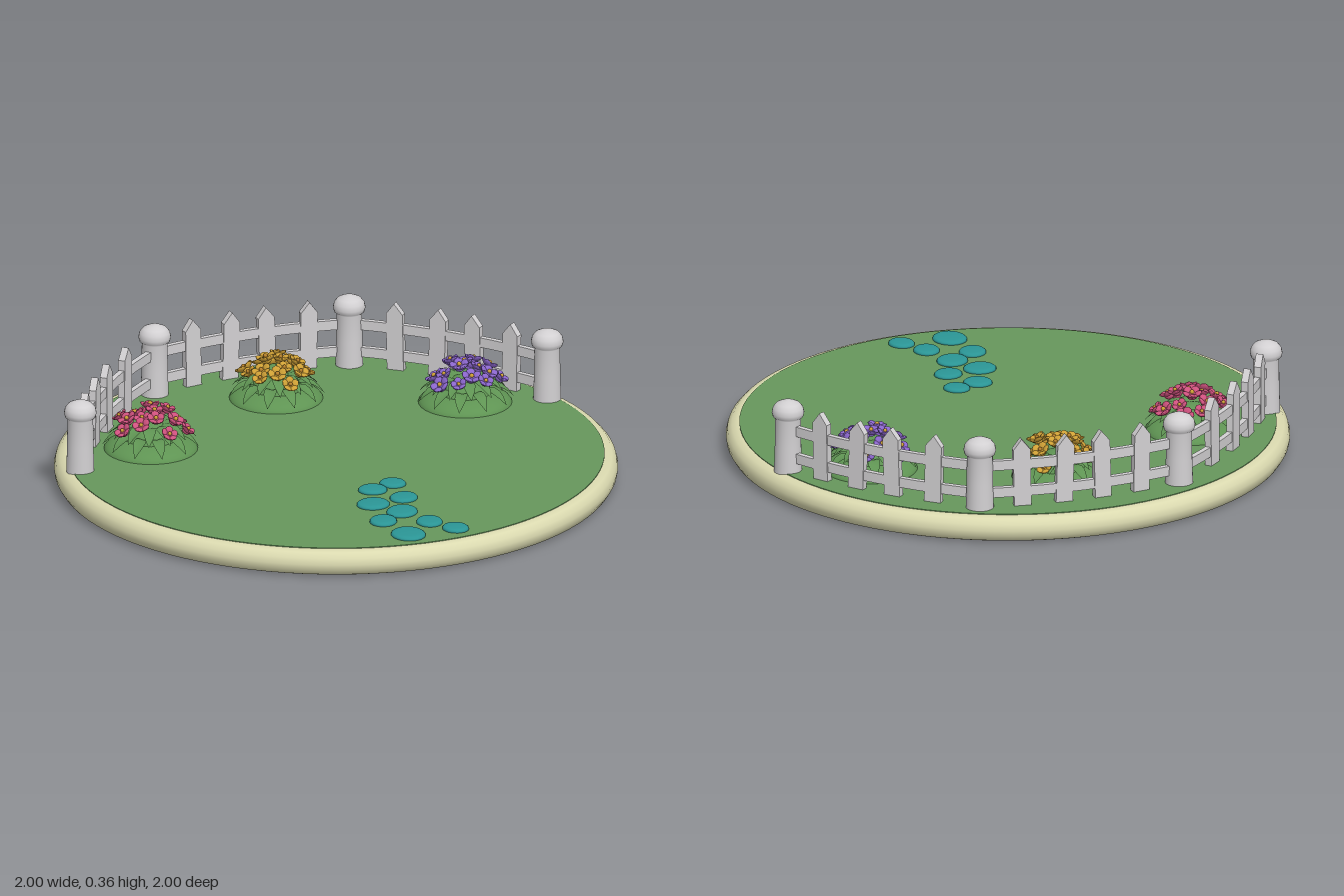
import * as THREE from 'three';
import { mergeGeometries } from 'three/addons/utils/BufferGeometryUtils.js';

const V2 = (x, y) => new THREE.Vector2(x, y);
const GROUND = 0.09;

function makeMaterial(name, color, side = THREE.FrontSide) {
  const m = new THREE.MeshStandardMaterial({ color, side });
  m.name = name;
  return m;
}

const mats = {
  stoneRim: makeMaterial('cream rim', 0xdbdab0),
  grass: makeMaterial('grass green', 0x66975c),
  fence: makeMaterial('fence white', 0xd2d0d2),
  steppingStone: makeMaterial('teal stone', 0x2b9696),
  foliage: makeMaterial('foliage green', 0x5f9453, THREE.DoubleSide),
  pink: makeMaterial('pink petal', 0xd0527f),
  yellow: makeMaterial('yellow petal', 0xd0a136),
  purple: makeMaterial('purple petal', 0x8b66cc),
  orange: makeMaterial('orange centre', 0xb9822c),
};

function addMesh(parent, name, geometry, material) {
  const mesh = new THREE.Mesh(geometry, material);
  mesh.name = name;
  parent.add(mesh);
  return mesh;
}

// Round base with a bulging rim and a grass sheet on top
function buildBase(root) {
  const profile = [V2(0, 0), V2(0.965, 0), V2(0.985, 0.008), V2(0.997, 0.028), V2(1, 0.048),
    V2(0.994, 0.07), V2(0.978, 0.087), V2(0.955, 0.094), V2(0.94, 0.088), V2(0, 0.086)];
  addMesh(root, 'base', new THREE.LatheGeometry(profile, 96), mats.stoneRim);
  const lawn = new THREE.CylinderGeometry(0.952, 0.952, 0.008, 96);
  lawn.translate(0, 0.0915, 0);
  addMesh(root, 'lawn', lawn, mats.grass);
}

// Round post with a domed cap
function postGeometry() {
  const profile = [V2(0.05, 0), V2(0.047, 0.1), V2(0.046, 0.2), V2(0.054, 0.207), V2(0.058, 0.222),
    V2(0.054, 0.24), V2(0.042, 0.255), V2(0.022, 0.264), V2(0, 0.267)];
  return new THREE.LatheGeometry(profile, 24);
}

// Pointed board standing on y = 0, centred in depth
function picketGeometry() {
  const s = new THREE.Shape([V2(-0.031, 0), V2(0.031, 0), V2(0.031, 0.215), V2(0, 0.255), V2(-0.031, 0.215)]);
  const g = new THREE.ExtrudeGeometry(s, { depth: 0.026, bevelEnabled: false });
  return g.translate(0, 0, -0.013);
}

// Rectangular rail following a curve in plan
function railGeometry(curve, height) {
  const steps = 10, hw = 0.01, hh = 0.018;
  const corners = [[-hw, -hh], [hw, -hh], [hw, hh], [-hw, hh]];
  const pos = [], idx = [];
  for (let i = 0; i <= steps; i++) {
    const p = curve.getPoint(i / steps), t = curve.getTangent(i / steps);
    // each face keeps its own pair of corners so the edges stay sharp
    for (let k = 0; k < 4; k++) {
      for (const c of [corners[k], corners[(k + 1) % 4]]) {
        pos.push(p.x - t.z * c[0], height + c[1], p.z + t.x * c[0]);
      }
      if (i < steps) {
        const a = i * 8 + k * 2;
        idx.push(a, a + 8, a + 1, a + 1, a + 8, a + 9);
      }
    }
  }
  const g = new THREE.BufferGeometry();
  g.setAttribute('position', new THREE.Float32BufferAttribute(pos, 3));
  g.setIndex(idx);
  g.computeVertexNormals();
  return g;
}

function buildFence(root) {
  const fence = new THREE.Group();
  fence.name = 'fence';
  root.add(fence);
  const posts = [[-0.9, -0.2], [-0.36, -0.79], [0.39, -0.79], [0.9, -0.2]]
    .map(([x, z]) => new THREE.Vector3(x, 0, z));
  const slots = [[0.14, 0.32, 0.51, 0.72], [0.21, 0.405, 0.6, 0.8], [0.22, 0.42, 0.61, 0.8]];
  const tilts = [0.02, -0.03, 0.03, -0.02];
  const post = postGeometry(), picket = picketGeometry();
  const railMat = mats.fence.clone();
  railMat.side = THREE.DoubleSide;
  posts.forEach(p => addMesh(fence, 'post', post, mats.fence).position.set(p.x, GROUND, p.z));

  for (let i = 0; i < 3; i++) {
    const a = posts[i], b = posts[i + 1];
    // panels bow outward between their posts
    const out = new THREE.Vector3(b.z - a.z, 0, a.x - b.x).normalize();
    const mid = a.clone().lerp(b, 0.5).addScaledVector(out, 0.085);
    const curve = new THREE.QuadraticBezierCurve3(a, mid, b);
    for (const h of [0.148, 0.25]) addMesh(fence, 'rail', railGeometry(curve, h), railMat);
    slots[i].forEach((t, k) => {
      const p = curve.getPoint(t), d = curve.getTangent(t);
      const m = addMesh(fence, 'picket', picket, mats.fence);
      m.position.set(p.x, GROUND, p.z);
      m.rotation.set(0, Math.atan2(-d.z, d.x), tilts[k], 'YXZ');
    });
  }
}

// Pointed leaf along +z, folded at the midrib and drooping
function leafGeometry(length, width) {
  const g = new THREE.PlaneGeometry(1, 1, 2, 5);
  const p = g.attributes.position;
  for (let i = 0; i < p.count; i++) {
    const t = 0.5 - p.getY(i), side = p.getX(i) * 2;
    const w = width * Math.pow(Math.sin(Math.PI * (0.12 + 0.88 * t)), 0.8);
    p.setXYZ(i, side * w / 2, 0.05 * t - 0.085 * t * t + Math.abs(side) * w * 0.12, t * length);
  }
  g.computeVertexNormals();
  return g;
}

// Open cup of five petals facing +y
function bloomGeometry() {
  const parts = [];
  for (let i = 0; i < 5; i++) {
    const petal = new THREE.SphereGeometry(1, 8, 5);
    petal.scale(0.019, 0.007, 0.019).rotateX(-0.6).translate(0, 0.006, 0.02);
    parts.push(petal.rotateY(i * Math.PI * 2 / 5));
  }
  const cup = new THREE.SphereGeometry(0.02, 10, 6);
  parts.push(cup.scale(1, 0.7, 1).translate(0, -0.004, 0));
  return mergeGeometries(parts);
}

function buildFlowerBed(root, name, x, z, petalMat, centreMat, spin) {
  const bed = new THREE.Group();
  bed.name = name;
  bed.position.set(x, GROUND, z);
  bed.rotation.y = spin;
  root.add(bed);

  // low mound with a smaller bush on it
  const dome = new THREE.SphereGeometry(1, 32, 10, 0, Math.PI * 2, 0, Math.PI / 2);
  addMesh(bed, 'mound', dome, mats.foliage).scale.set(0.168, 0.055, 0.168);
  addMesh(bed, 'bush', dome, mats.foliage).scale.set(0.105, 0.105, 0.105);

  // two rings of drooping leaves
  const leaf = leafGeometry(0.105, 0.046);
  for (let i = 0; i < 22; i++) {
    const inner = i % 2, a = i * Math.PI / 11;
    const r = inner ? 0.035 : 0.068;
    const m = addMesh(bed, 'leaf', leaf, mats.foliage);
    m.position.set(Math.sin(a) * r, inner ? 0.092 : 0.06, Math.cos(a) * r);
    m.rotation.y = a;
  }

  // blooms spiral out from the crown, facing away from it
  const bloom = bloomGeometry();
  const centre = new THREE.SphereGeometry(0.0085, 8, 6);
  const up = new THREE.Vector3(0, 1, 0);
  const count = 17;
  for (let i = 0; i < count; i++) {
    const f = Math.sqrt((i + 0.3) / count), a = i * 2.39996;
    const r = 0.13 * f, lift = 0.014 * Math.sin(i * 2.7);
    const flower = new THREE.Group();
    flower.name = 'flower';
    flower.position.set(Math.sin(a) * r, 0.148 - 0.065 * f * f + lift, Math.cos(a) * r);
    const facing = new THREE.Vector3(Math.sin(a) * f * 0.85, 1, Math.cos(a) * f * 0.85).normalize();
    flower.quaternion.setFromUnitVectors(up, facing);
    flower.scale.setScalar(0.9 + 0.1 * Math.sin(i * 1.9));
    addMesh(flower, 'petals', bloom, petalMat);
    addMesh(flower, 'flowerCentre', centre, centreMat).position.y = 0.012;
    bed.add(flower);
  }
}

// Flat pebbles forming a path: x, z, radius
function buildPath(root) {
  const stones = [[0.06, 0.37, 0.045], [-0.03, 0.4, 0.049], [-0.085, 0.532, 0.056], [0.04, 0.515, 0.049],
    [-0.02, 0.64, 0.056], [-0.118, 0.7, 0.05], [0.03, 0.77, 0.048], [-0.088, 0.855, 0.062], [0.09, 0.865, 0.046]];
  const pebble = new THREE.LatheGeometry([V2(0.9, -1), V2(1, -0.2), V2(0.98, 0.35), V2(0.88, 0.75), V2(0.6, 0.95), V2(0, 1)], 24);
  stones.forEach(([x, z, r], i) => {
    const m = addMesh(root, 'steppingStone', pebble, mats.steppingStone);
    m.position.set(x, 0.098, z);
    m.scale.set(r * 1.06, 0.011, r * 0.97);
    m.rotation.y = -0.7 + i * 0.35;
  });
}

export function createModel() {
  const root = new THREE.Group();
  root.name = 'gardenPlot';
  buildBase(root);
  buildFence(root);
  buildFlowerBed(root, 'pinkFlowerBed', -0.585, -0.3, mats.pink, mats.yellow, 0.4);
  buildFlowerBed(root, 'yellowFlowerBed', 0.02, -0.585, mats.yellow, mats.orange, 1.7);
  buildFlowerBed(root, 'purpleFlowerBed', 0.62, -0.285, mats.purple, mats.yellow, 2.9);
  buildPath(root);
  return root;
}
